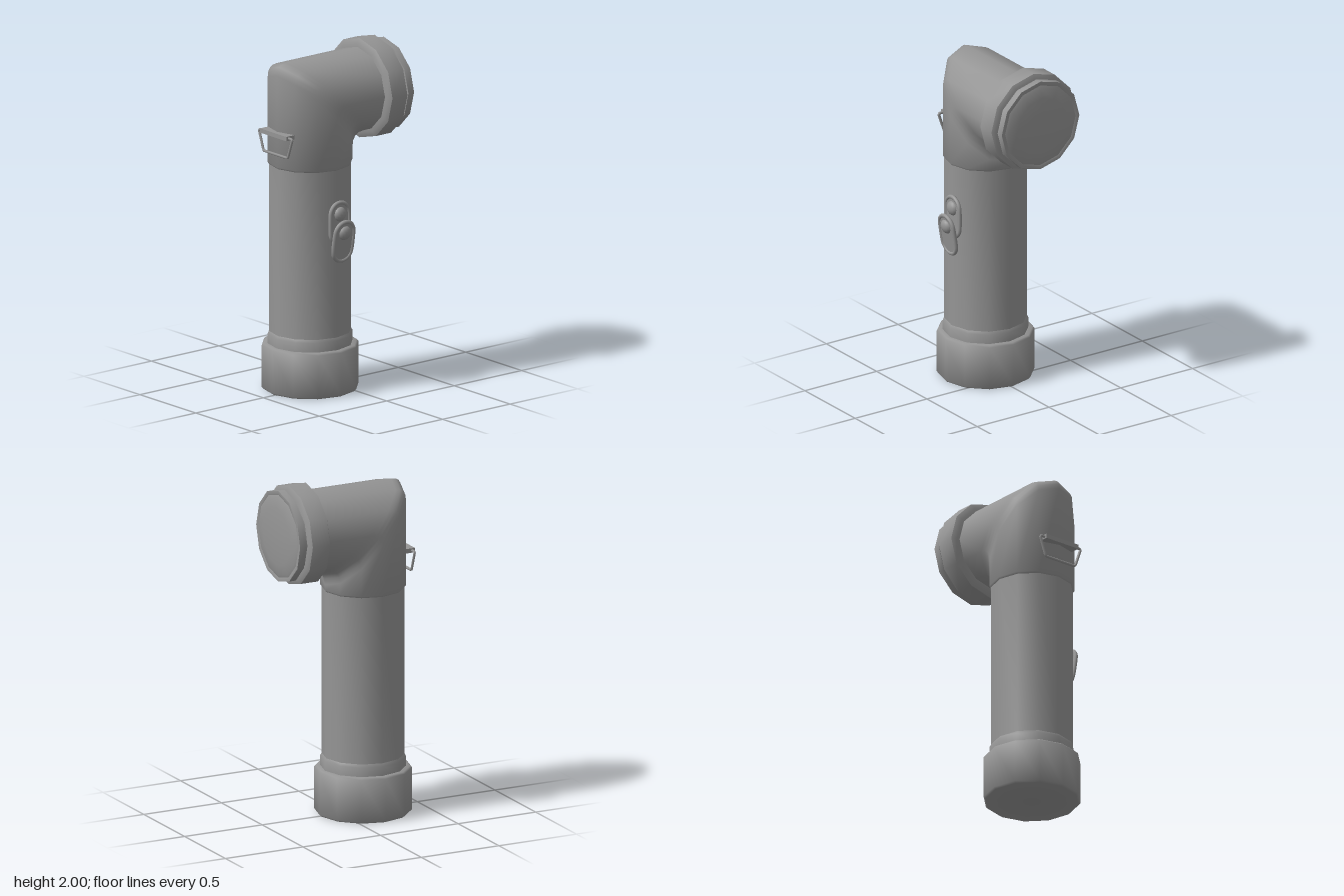
import * as THREE from 'three';
import { toCreasedNormals } from 'three/addons/utils/BufferGeometryUtils.js';

const SIDES = 12;
const AX = -0.145, AY = 1.706, AZ = -0.01; // handle axis x, head axis y, shared z
const GREY = 0x959595;
const mat = new THREE.MeshStandardMaterial({ color: GREY });
const thin = new THREE.MeshStandardMaterial({ color: GREY, side: THREE.DoubleSide });

function add(parent, name, geo, material = mat) {
  const m = new THREE.Mesh(geo, material);
  m.name = name;
  parent.add(m);
  return m;
}

// Twelve-sided turned part: smooth around, crisp at steps sharper than the crease angle
function turned(points, crease = 1) {
  const geo = new THREE.LatheGeometry(points.map(([r, y]) => new THREE.Vector2(r, y)), SIDES);
  return toCreasedNormals(geo, crease);
}

// Mitred elbow: every side runs up, turns through a short curve, then runs to +x
function elbowGeometry() {
  const r = 0.245, steps = 4, pos = [], idx = [];
  const rings = [];
  const ring = fn => rings.push(Array.from({ length: SIDES }, (_, j) => {
    const a = (j / SIDES) * Math.PI * 2;
    return fn(Math.cos(a), Math.sin(a));
  }));
  ring((c, s) => [AX - 0.237 * c, 1.332, 0.237 * s]);
  ring((c, s) => [AX - r * c, 1.342, r * s]);
  for (let k = 0; k <= steps; k++) {
    const t = k / steps;
    ring((c, s) => {
      const d = 0.075 - 0.01 * c;
      return [AX - r * c + d * t * t, AY + r * c - d * (1 - t) * (1 - t), r * s];
    });
  }
  ring((c, s) => [0.215, AY + r * c, r * s]);
  rings.forEach(rg => rg.forEach(p => pos.push(p[0], p[1], p[2] + AZ)));
  for (let i = 0; i < rings.length - 1; i++) {
    for (let j = 0; j < SIDES; j++) {
      const n = (j + 1) % SIDES;
      const a = i * SIDES + j, b = i * SIDES + n;
      idx.push(a, b, b + SIDES, a, b + SIDES, a + SIDES);
    }
  }
  const geo = new THREE.BufferGeometry();
  geo.setAttribute('position', new THREE.Float32BufferAttribute(pos, 3));
  geo.setIndex(idx);
  return toCreasedNormals(geo, 1);
}

// Oval plate with raised rim and a round button near its top
function switchOval(name) {
  const g = new THREE.Group();
  g.name = name;
  const r = 0.067, h = 0.053;
  const outline = new THREE.Shape();
  outline.absarc(0, h, r, 0, Math.PI, false);
  outline.absarc(0, -h, r, Math.PI, Math.PI * 2, false);
  outline.closePath();
  const plate = new THREE.ExtrudeGeometry(outline, { depth: 0.014, bevelEnabled: false, curveSegments: 8 });
  plate.translate(0, 0, -0.009);
  add(g, name + 'Plate', plate);
  const pts = [];
  for (let i = 0; i < 20; i++) {
    const a = ((i % 10) / 9 + (i < 10 ? 0 : 1)) * Math.PI;
    pts.push(new THREE.Vector3(Math.cos(a) * r, Math.sin(a) * r + (i < 10 ? h : -h), 0));
  }
  const path = new THREE.CatmullRomCurve3(pts, true);
  add(g, name + 'Rim', new THREE.TubeGeometry(path, 40, 0.012, 8, true));
  const button = add(g, name + 'Button', new THREE.SphereGeometry(0.043, 14, 10));
  button.position.set(0, h, 0);
  button.scale.z = 0.7;
  return g;
}

// Closed hanging wire loop made from straight runs
function wireLoop() {
  const corners = [[0.15, 1.542], [0.108, 1.423], [-0.108, 1.423], [-0.15, 1.542]]
    .map(([z, y]) => new THREE.Vector3(-0.4, y, z + AZ));
  const path = new THREE.CurvePath();
  corners.forEach((p, i) => {
    const q = corners[(i + 1) % 4], before = corners[(i + 3) % 4];
    const toward = (u, v) => u.clone().lerp(v, 0.012 / u.distanceTo(v));
    path.add(new THREE.QuadraticBezierCurve3(toward(p, before), p, toward(p, q)));
    path.add(new THREE.LineCurve3(toward(p, q), toward(q, p)));
  });
  return new THREE.TubeGeometry(path, 96, 0.008, 6, true);
}

export function createModel() {
  const model = new THREE.Group();
  model.name = 'angleTorch';

  // Handle and end cap
  const handle = new THREE.Group();
  handle.name = 'handle';
  handle.position.set(AX, 0, AZ);
  model.add(handle);
  add(handle, 'endCap', turned([
    [0, 0], [0.269, 0], [0.28, 0.011], [0.28, 0.26], [0.27, 0.27], [0.23, 0.27],
  ]));
  add(handle, 'lowerCollar', turned([[0.246, 0.265], [0.246, 0.325], [0.237, 0.342]]));
  add(handle, 'barrel', turned([[0.237, 0.27], [0.237, 1.34]]));

  // Elbow and lamp head
  add(model, 'elbow', elbowGeometry(), thin);
  const head = new THREE.Group();
  head.name = 'lampHead';
  head.position.set(0, AY, AZ);
  head.rotation.z = -Math.PI / 2;
  model.add(head);
  add(head, 'headRing', turned([
    [0.22, 0.207], [0.265, 0.207], [0.294, 0.222], [0.294, 0.333], [0.268, 0.345], [0.2, 0.345],
  ], 0.6));
  add(head, 'bezel', turned([
    [0.25, 0.34], [0.25, 0.36], [0.27, 0.36], [0.27, 0.402], [0.25, 0.402], [0.24, 0.397],
  ]));
  add(head, 'lens', turned([
    [0.252, 0.397], [0.23, 0.406], [0.17, 0.414], [0.09, 0.419], [0, 0.421],
  ]));

  // Sliding switch: flush upper oval and tilted lower oval
  const upper = switchOval('upperSwitch');
  upper.position.set(-0.126, 1.02, 0.231);
  model.add(upper);
  const lower = switchOval('lowerSwitch');
  lower.position.set(-0.126, 0.918, 0.265);
  lower.rotation.x = 0.16;
  model.add(lower);

  // Hanging clip on the back of the elbow
  const bracket = add(model, 'clipBracket', new THREE.BoxGeometry(0.06, 0.026, 0.236));
  bracket.position.set(-0.388, 1.542, AZ);
  add(model, 'clipLoop', wireLoop());

  return model;
}
